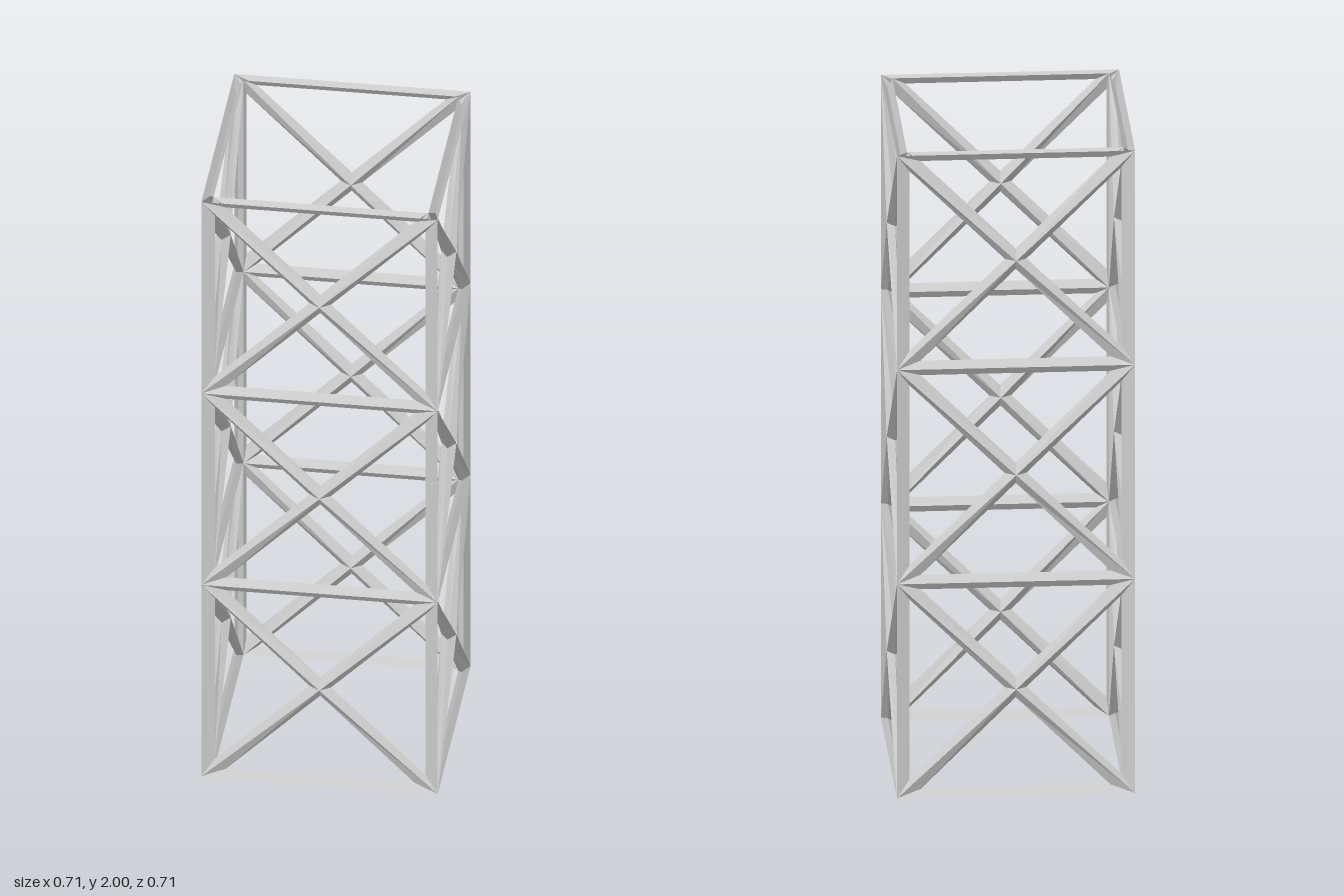
import * as THREE from 'three';

const HALF = 1 / 3;      // half width of one cubic bay
const BAY = 2 / 3;       // bay height
const BAYS = 3;
const T = 0.0225;        // half thickness of every strut

// One side of one bay: four triangular openings framed by diamond-section struts
function bracedPanel() {
  const v = (x, y, z) => new THREE.Vector3(x, y, z);
  const d = T * Math.SQRT1_2;
  // Each node has a midpoint, an outer ridge point and an inner ridge point
  const node = (p, offset) => ({ mid: p, outer: p.clone().add(offset), inner: p.clone().sub(offset) });
  const corners = [[-1, 0], [1, 0], [1, 1], [-1, 1]].map(([s, k]) =>
    node(v(s * HALF, k * BAY, HALF), v(s * d, 0, d)));
  const centre = node(v(0, BAY / 2, HALF), v(0, 0, T));

  const pos = [];
  const quad = (a, b, c, e) => [a, b, c, a, c, e].forEach((p) => pos.push(p.x, p.y, p.z));

  for (let i = 0; i < 4; i++) {
    const tri = [corners[i], corners[(i + 1) % 4], centre];
    // Shrink the triangle toward its incentre so each edge moves in by T
    const len = tri.map((_, k) => tri[(k + 1) % 3].mid.distanceTo(tri[(k + 2) % 3].mid));
    const sum = len[0] + len[1] + len[2];
    const incentre = v(0, 0, 0);
    tri.forEach((n, k) => incentre.addScaledVector(n.mid, len[k] / sum));
    const inradius = (len[1] + len[2 - 2] - len[2]) < 0 ? 0 : BAY * BAY / 2 / sum;
    const opening = tri.map((n) => n.mid.clone().lerp(incentre, T / inradius));
    // Bevel from the outer and inner ridges down to the opening
    for (let k = 0; k < 3; k++) {
      const m = (k + 1) % 3;
      quad(tri[k].outer, tri[m].outer, opening[m], opening[k]);
      quad(tri[m].inner, tri[k].inner, opening[k], opening[m]);
    }
  }
  const g = new THREE.BufferGeometry();
  g.setAttribute('position', new THREE.Float32BufferAttribute(pos, 3));
  g.computeVertexNormals();
  return g;
}

export function createModel() {
  const steel = new THREE.MeshStandardMaterial({ color: 0xcccccc, side: THREE.DoubleSide, flatShading: true });
  steel.name = 'light grey steel';

  const truss = new THREE.Group();
  truss.name = 'trussTower';
  const panel = bracedPanel();
  const sides = ['front', 'left', 'back', 'right'];

  // Stack the bays and repeat the panel around the four sides
  for (let b = 0; b < BAYS; b++) {
    const bay = new THREE.Group();
    bay.name = `bay${b + 1}`;
    bay.position.y = b * BAY;
    sides.forEach((side, i) => {
      const mesh = new THREE.Mesh(panel, steel);
      mesh.name = `${side}BracedPanel`;
      mesh.rotation.y = i * Math.PI / 2;
      bay.add(mesh);
    });
    truss.add(bay);
  }
  return truss;
}
